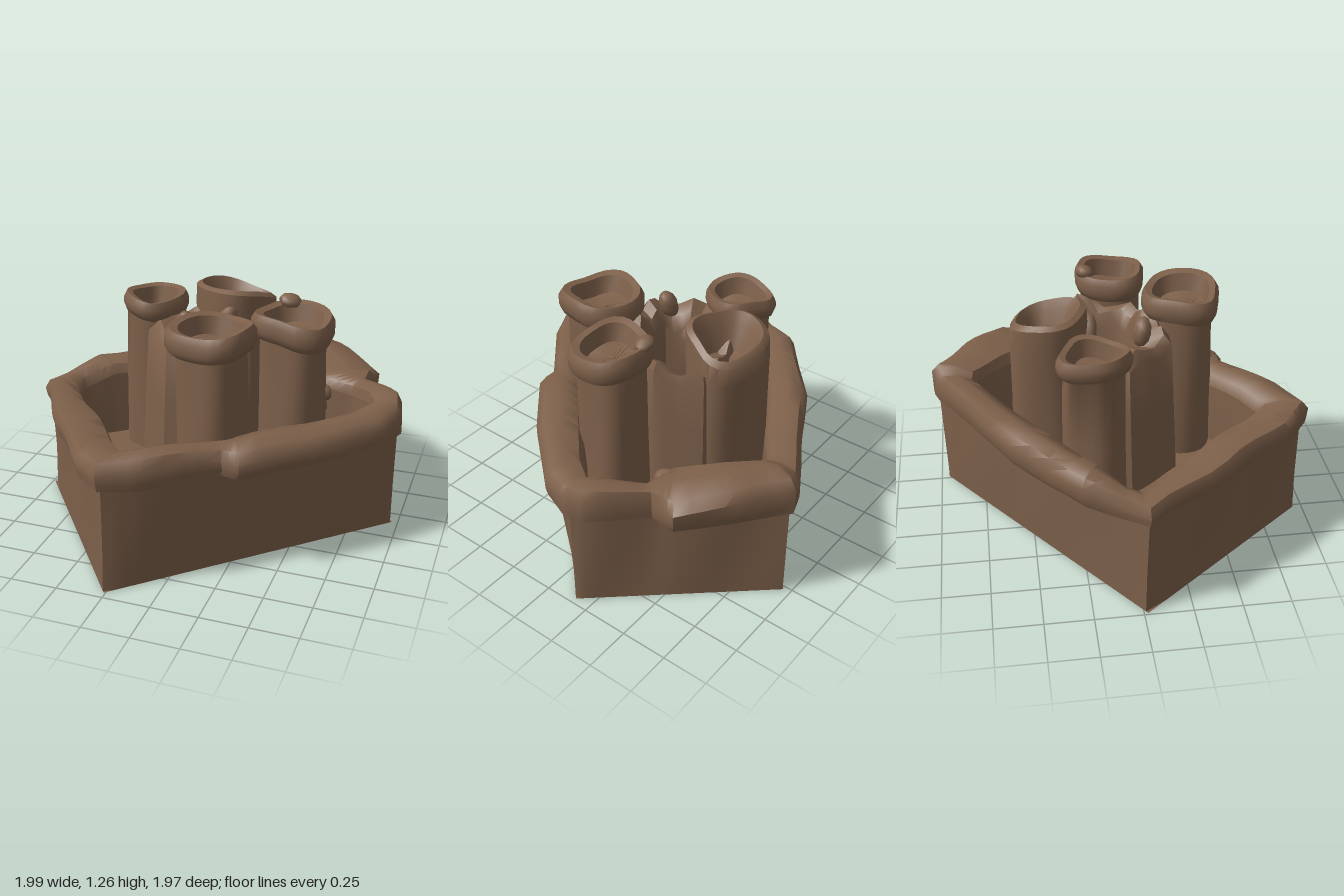
import * as THREE from 'three';
import { toCreasedNormals } from 'three/addons/utils/BufferGeometryUtils.js';

// Skin a stack of closed rings, each a list of [x, y, z]
function loft(rings) {
  const n = rings[0].length, idx = [];
  for (let i = 0; i < rings.length - 1; i++) {
    for (let j = 0; j < n; j++) {
      const k = (j + 1) % n, a = i * n + j, b = i * n + k, c = a + n, d = b + n;
      idx.push(a, c, b, b, c, d);
    }
  }
  const g = new THREE.BufferGeometry();
  g.setAttribute('position', new THREE.Float32BufferAttribute(rings.flat(2), 3));
  g.setIndex(idx);
  return toCreasedNormals(g, 0.85);
}

// Insert points between the rows of a closed table
function resample(rows, m) {
  return rows.flatMap((r, i) => {
    const s = rows[(i + 1) % rows.length];
    return Array.from({ length: m }, (_, k) => r.map((v, j) => v + (s[j] - v) * k / m));
  });
}

// Gentle lumps for the hand-shaped surface
const lump = (x, y, z) => Math.sin(x * 9 + y * 7) * Math.cos(z * 8 - y * 5 + 1);

export function createModel() {
  const group = new THREE.Group();
  const earth = new THREE.MeshStandardMaterial({ color: 0x7d604a, side: THREE.DoubleSide });
  earth.name = 'brown earth';
  const add = (name, geo) => {
    const mesh = new THREE.Mesh(geo, earth);
    mesh.name = name;
    group.add(mesh);
    return mesh;
  };

  // Enclosure: rim outer x,z / rim inner x,z / wall x,z / rim top
  const plan = resample([
    [-1.0, 0.02, -0.8, 0.0, -0.97, 0.02, 0.67],
    [-0.93, -0.08, -0.79, -0.06, -0.88, -0.06, 0.68],
    [-0.82, -0.28, -0.66, -0.17, -0.74, -0.19, 0.73],
    [-0.43, -0.61, -0.32, -0.42, -0.38, -0.47, 0.73],
    [-0.05, -0.81, 0.0, -0.62, 0.0, -0.76, 0.72],
    [0.21, -0.97, 0.18, -0.75, 0.22, -0.92, 0.74],
    [0.3, -1.0, 0.22, -0.74, 0.29, -0.97, 0.77],
    [0.52, -0.84, 0.33, -0.58, 0.46, -0.76, 0.76],
    [0.77, -0.63, 0.46, -0.4, 0.65, -0.55, 0.73],
    [0.74, -0.48, 0.66, -0.38, 0.7, -0.47, 0.72],
    [0.96, -0.25, 0.76, -0.24, 0.9, -0.25, 0.75],
    [0.99, -0.14, 0.8, -0.15, 0.96, -0.15, 0.74],
    [0.92, 0.04, 0.69, -0.02, 0.87, 0.01, 0.71],
    [0.64, 0.36, 0.44, 0.2, 0.57, 0.27, 0.72],
    [0.34, 0.62, 0.22, 0.39, 0.27, 0.52, 0.71],
    [0.24, 0.61, 0.14, 0.46, 0.19, 0.59, 0.71],
    [-0.08, 0.88, -0.1, 0.63, -0.09, 0.83, 0.72],
    [-0.28, 0.98, -0.22, 0.7, -0.27, 0.95, 0.72],
    [-0.43, 0.84, -0.34, 0.55, -0.41, 0.79, 0.71],
    [-0.72, 0.47, -0.58, 0.27, -0.69, 0.43, 0.71],
  ], 4);
  const ring = (f) => plan.map(([ox, oz, ix, iz, wx, wz, top]) => {
    const [t, y] = f(top);       // t: 0 wall, 1 rim edge, then toward 2 at the inner edge
    const x = t <= 1 ? wx + (ox - wx) * t : ox + (ix - ox) * (t - 1);
    const z = t <= 1 ? wz + (oz - wz) * t : oz + (iz - oz) * (t - 1);
    const h = y > 0.1 ? 0.012 * lump(x, y, z) : 0;
    return [x + h, y + h, z - h];
  });
  const floorY = 0.3;
  // Straight footprint shared by the wall foot and the underside
  const A = [-0.99, 0.02], B = [0.27, -0.96], C = [0.97, -0.16], D = [-0.26, 0.96];
  const foot = plan.map(([, , , , wx, wz]) => {
    let best = null, dist = 9;
    [[A, B], [B, C], [C, D], [D, A]].forEach(([p, q]) => {
      const dx = q[0] - p[0], dz = q[1] - p[1];
      const t = THREE.MathUtils.clamp(((wx - p[0]) * dx + (wz - p[1]) * dz) / (dx * dx + dz * dz), 0, 1);
      const c = [p[0] + dx * t, 0.01, p[1] + dz * t];
      const d = Math.hypot(c[0] - wx, c[2] - wz);
      if (d < dist) { dist = d; best = c; }
    });
    return best;
  });
  const under = ring(() => [0, 0.57]);
  const middle = foot.map((p, i) => {
    const x = p[0] * 0.6 + under[i][0] * 0.4, z = p[2] * 0.6 + under[i][2] * 0.4;
    const h = 1 + 0.015 * lump(x, 0.25, z);
    return [x * h, 0.25, z * h];
  });
  add('outerWall', loft([foot, middle, under]));
  add('wallRim', loft([
    under, ring(() => [0.85, 0.57]), ring(() => [1, 0.61]), ring((t) => [1, t - 0.05]),
    ring((t) => [1.15, t]), ring((t) => [1.5, t + 0.01]), ring((t) => [1.85, t - 0.02]),
    ring((t) => [1.96, t - 0.08]),
  ]));
  add('innerWall', loft([ring((t) => [1.96, t - 0.08]), ring(() => [2, 0.5]), ring(() => [2, floorY])]));
  add('courtyardFloor', loft([ring(() => [2, floorY]), plan.map(() => [0, floorY, 0])]));

  // Underside with its opening
  const uv = ([u, v]) => {
    const at = (i) => (C[i] * (1 - u) + B[i] * u) * (1 - v) + (D[i] * (1 - u) + A[i] * u) * v;
    return new THREE.Vector2(at(0), at(1));
  };
  const base = new THREE.Shape([A, B, C, D].map((p) => new THREE.Vector2(...p)));
  base.holes.push(new THREE.Path([[0.13, 0.38], [0.77, 0.7], [0.77, 0.93], [0.13, 0.93]].map(uv)));
  add('underside', new THREE.ShapeGeometry(base).rotateX(Math.PI / 2).translate(0, 0.01, 0));

  // Towers: squarish rings following a profile of [radius x, radius z, height]
  const tower = (name, cx, cz, profile, turn, tiltX, tiltZ) => {
    add(name, loft(profile.map(([rx, rz, y]) => Array.from({ length: 28 }, (_, j) => {
      const a = j / 28 * Math.PI * 2;
      const sq = 1 - 0.05 * Math.cos(4 * (a - turn));
      const w = sq * (1 + 0.04 * Math.sin(3 * a + cx * 20 + y * 3));
      const x = rx * w * Math.cos(a), z = rz * w * Math.sin(a);
      const up = y > 1 ? 1 : 0;
      return [cx + x, y + up * (tiltX * x + tiltZ * z + 0.012 * Math.sin(2 * a + cx * 9)), cz + z];
    }))));
  };
  const rimmed = (r, rx, rz, rimY, top) => [
    [r * 1.08, r * 1.08, floorY - 0.02], [r * 1.03, r * 1.03, 0.72], [r, r, rimY - 0.01],
    [rx * 0.93, rz * 0.93, rimY], [rx, rz, rimY + 0.035], [rx, rz, top - 0.035],
    [rx * 0.9, rz * 0.9, top], [rx * 0.72, rz * 0.74, top - 0.01],
    [rx * 0.58, rz * 0.62, top - 0.1], [0, 0, top - 0.12],
  ];
  tower('frontTower', 0.1, 0.345, rimmed(0.17, 0.22, 0.21, 1.12, 1.245), 0.3, 0.02, 0);
  tower('leftTower', 0.425, 0.01, rimmed(0.165, 0.21, 0.195, 1.1, 1.225), 0.2, -0.08, -0.03);
  tower('rightTower', -0.4, -0.17, rimmed(0.15, 0.165, 0.185, 1.09, 1.19), 0.5, -0.03, 0);
  // Broken tower: no rim, slanted open top
  tower('backTower', -0.01, -0.37, [
    [0.22, 0.2, floorY - 0.02], [0.21, 0.195, 0.8], [0.215, 0.2, 1.08], [0.21, 0.195, 1.18],
    [0.18, 0.165, 1.2], [0.15, 0.13, 1.15], [0.1, 0.09, 1.02], [0, 0, 1.01],
  ], 0.4, -0.12, 0.18);

  // Keep walls joining the towers: outer x,z / inner x,z / top
  const keep = resample([
    [-0.42, 0.02, -0.2, -0.05, 1.08], [-0.2, 0.29, -0.1, 0.09, 1.1],
    [0.06, 0.26, 0.06, 0.09, 1.14], [0.24, 0.15, 0.18, 0.01, 1.08],
    [0.36, -0.17, 0.26, -0.2, 1.1], [0.25, -0.42, 0.19, -0.36, 1.06],
    [0.0, -0.42, 0.03, -0.27, 1.06], [-0.27, -0.32, -0.16, -0.2, 1.09],
  ], 4);
  const keepRing = (t, f) => keep.map(([ox, oz, ix, iz, top], j) => {
    const y = f(top + 0.03 * Math.sin(j * 1.7));
    return [ox + (ix - ox) * t, y, oz + (iz - oz) * t];
  });
  add('keepWalls', loft([
    keepRing(0, () => floorY - 0.02), keepRing(0.12, () => 0.75), keepRing(0.2, (y) => y - 0.05),
    keepRing(0.4, (y) => y), keepRing(0.8, (y) => y - 0.02), keepRing(1, (y) => y - 0.1),
    keepRing(1.02, () => 0.7), keep.map(() => [0.03, 0.69, -0.1]),
  ]));

  // Broken fragments: position, size, tilt
  [
    ['keepFragment', -0.14, 1.13, 0.1, 0.05, 0.08, 0.05, 0.3],
    ['keepFragment', 0.0, 1.06, -0.17, 0.06, 0.11, 0.05, 0.5],
    ['towerChip', 0.36, 1.235, -0.14, 0.06, 0.035, 0.05, 0.2],
    ['courtyardRubble', 0.47, 0.56, -0.35, 0.06, 0.06, 0.07, -0.5],
    ['courtyardRubble', 0.5, 0.62, -0.4, 0.05, 0.05, 0.05, 0.4],
  ].forEach(([name, x, y, z, sx, sy, sz, tilt]) => {
    const m = add(name, new THREE.SphereGeometry(1, 8, 6));
    m.position.set(x, y, z);
    m.scale.set(sx, sy, sz);
    m.rotation.set(tilt, tilt, -tilt);
  });
  return group;
}
